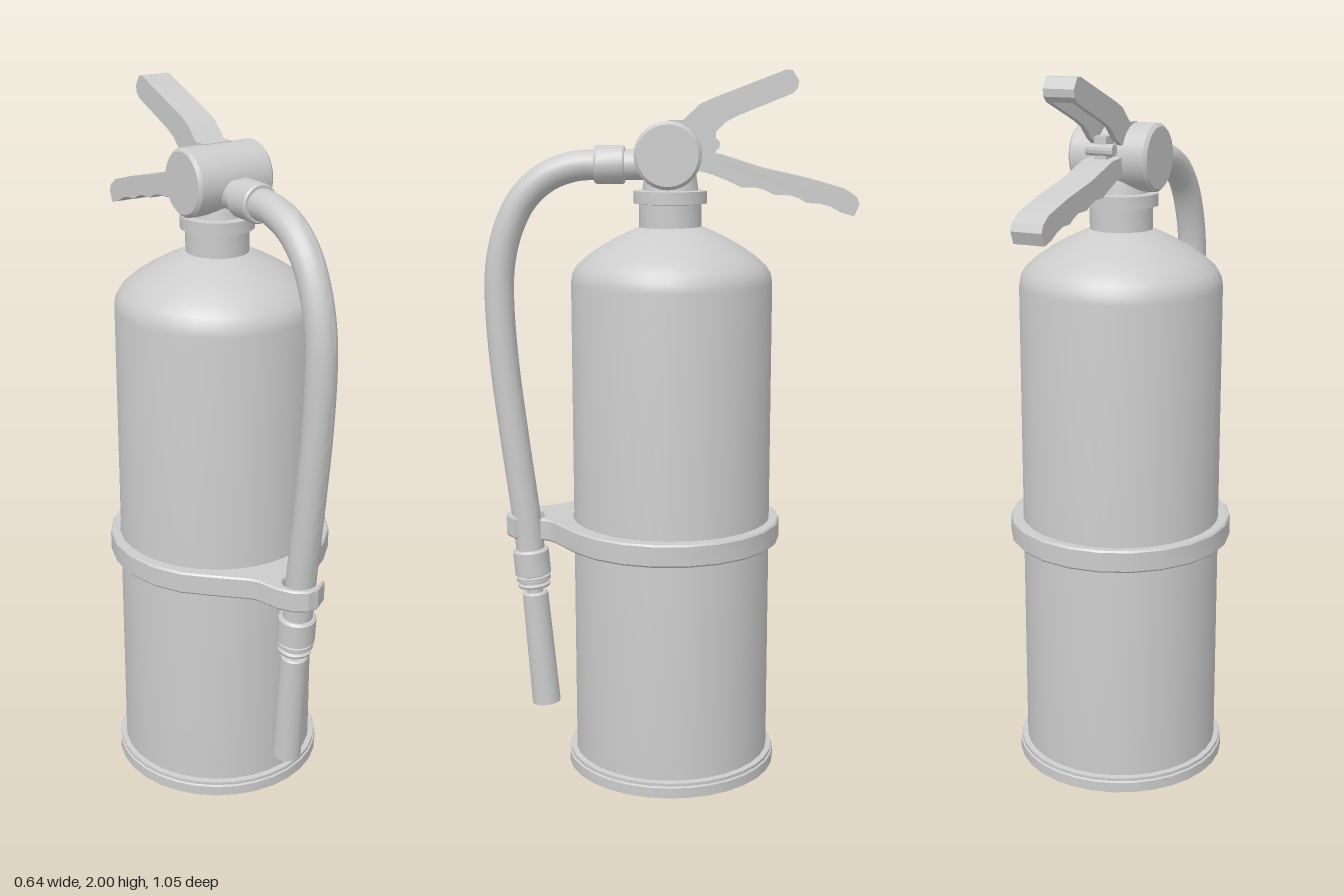
import * as THREE from 'three';
import { toCreasedNormals } from 'three/addons/utils/BufferGeometryUtils.js';

const grey = new THREE.MeshStandardMaterial({ color: 0xcccccc });
const AXIS_X = -0.005;
const v2 = (pts) => pts.map(([x, y]) => new THREE.Vector2(x, y));

function part(name, geometry, x = 0, y = 0, z = 0, crease = 0.55) {
  const mesh = new THREE.Mesh(toCreasedNormals(geometry, crease), grey);
  mesh.name = name;
  mesh.position.set(x, y, z);
  return mesh;
}

const lathe = (profile, sides = 24) => new THREE.LatheGeometry(v2(profile), sides);

// Side outline given as [z, y], extruded across x
function sideExtrude(outline, width, centre = AXIS_X) {
  const g = new THREE.ExtrudeGeometry(new THREE.Shape(v2(outline)), { depth: width, bevelEnabled: false });
  return g.rotateY(-Math.PI / 2).translate(centre + width / 2, 0, 0);
}

export function createModel() {
  const model = new THREE.Group();
  model.name = 'fireExtinguisher';

  // Tank with domed shoulder
  model.add(part('tank', lathe([
    [0, 0.01], [0.283, 0.01], [0.283, 1.42], [0.279, 1.445], [0.265, 1.468], [0.235, 1.495],
    [0.195, 1.522], [0.15, 1.547], [0.105, 1.568], [0.085, 1.576], [0, 1.576],
  ], 32), AXIS_X, 0, -0.007));

  // Base ring
  model.add(part('base', lathe([
    [0, 0], [0.304, 0], [0.304, 0.03], [0.299, 0.033], [0.299, 0.042], [0.283, 0.044],
  ], 32), -0.004, 0, -0.006));

  // Neck and collar
  model.add(part('neck', lathe([
    [0.087, 1.56], [0.087, 1.638], [0.102, 1.64], [0.102, 1.674], [0.078, 1.676], [0.07, 1.73], [0, 1.73],
  ]), AXIS_X, 0, -0.004));

  // Valve head lying across x
  const head = lathe([
    [0, -0.117], [0.083, -0.117], [0.092, -0.108], [0.092, 0.108], [0.083, 0.117], [0, 0.117],
  ], 28).rotateZ(Math.PI / 2);
  model.add(part('valveHead', head, -0.002, 1.772, 0));

  // Upper lever: hollow channel made of a top strip and two cheeks
  const leverTop = [[0, 1.866], [-0.04, 1.866], [-0.085, 1.908], [-0.12, 1.924], [-0.318, 1.999], [-0.335, 1.998]];
  const leverTip = [[-0.353, 1.97], [-0.35, 1.95], [-0.336, 1.936]];
  const leverUnder = [[-0.19, 1.878], [-0.155, 1.86], [-0.122, 1.828], [-0.09, 1.81], [-0.03, 1.82], [0, 1.83]];
  const lever = new THREE.Group();
  lever.name = 'upperLever';
  for (const s of [-1, 1]) {
    lever.add(part('leverCheek', sideExtrude([...leverTop, ...leverTip, ...leverUnder], 0.014, AXIS_X + s * 0.037)));
  }
  lever.add(part('leverStrip', sideExtrude([
    ...leverTop, ...leverTip, [-0.326, 1.945], [-0.325, 1.975], [-0.12, 1.9], [-0.07, 1.865], [0, 1.83],
  ], 0.07)));
  model.add(lever);

  // Lower carrying handle with finger grips
  model.add(part('lowerHandle', sideExtrude([
    [-0.06, 1.785], [-0.1, 1.777], [-0.14, 1.775], [-0.26, 1.737], [-0.39, 1.708], [-0.487, 1.68], [-0.516, 1.66],
    [-0.524, 1.64], [-0.51, 1.607], [-0.475, 1.617], [-0.445, 1.633], [-0.415, 1.642], [-0.38, 1.643],
    [-0.36, 1.655], [-0.335, 1.664], [-0.29, 1.665], [-0.265, 1.678], [-0.24, 1.685], [-0.2, 1.685],
    [-0.165, 1.702], [-0.12, 1.72], [-0.06, 1.735],
  ], 0.088)));

  // Locking pin and its block between the levers
  model.add(part('lockBlock', new THREE.BoxGeometry(0.035, 0.06, 0.06), AXIS_X, 1.805, -0.1));
  model.add(part('lockPin', new THREE.CylinderGeometry(0.016, 0.016, 0.08, 12).rotateZ(Math.PI / 2), AXIS_X, 1.8, -0.125));

  // Hose outlet and coupling
  model.add(part('hoseCoupling', lathe([
    [0.042, 0.05], [0.042, 0.122], [0.049, 0.122], [0.053, 0.127], [0.053, 0.2], [0.049, 0.206], [0.03, 0.206],
  ], 20).rotateX(Math.PI / 2), -0.007, 1.745, 0));

  // Hose
  const hosePath = new THREE.CatmullRomCurve3([
    [0.18, 1.745], [0.26, 1.741], [0.34, 1.712], [0.405, 1.655], [0.45, 1.57], [0.475, 1.47], [0.48, 1.37],
    [0.471, 1.2], [0.447, 0.98], [0.417, 0.74], [0.403, 0.6],
  ].map(([z, y]) => new THREE.Vector3(-0.007, y, z)));
  model.add(part('hose', new THREE.TubeGeometry(hosePath, 48, 0.042, 16)));

  // Nozzle, tilted to follow the hose
  const nozzle = part('nozzle', lathe([
    [0, -0.477], [0.042, -0.477], [0.038, -0.137], [0.034, -0.133], [0.024, -0.133], [0.024, -0.118],
    [0.045, -0.116], [0.048, -0.108], [0.041, -0.103], [0.041, -0.098], [0.05, -0.095], [0.05, -0.083],
    [0.044, -0.08], [0.053, -0.076], [0.053, -0.006], [0.047, 0], [0, 0],
  ], 20), -0.007, 0.638, 0.406);
  nozzle.rotation.x = 0.082;
  model.add(nozzle);

  // Strap with an open hose clip; outline in [x, z] starts at its right shoulder
  const outline = [];
  const a0 = 0.93, a1 = Math.PI - 0.93;
  for (let i = 0; i <= 18; i++) {
    const a = a0 + (a1 - 2 * Math.PI - a0) * (i / 18);
    outline.push([Math.cos(a) * 0.319, Math.sin(a) * 0.319]);
  }
  outline.push([-0.115, 0.325], [-0.1, 0.345], [-0.08, 0.41], [-0.055, 0.45], [-0.02, 0.472], [0.012, 0.472],
    [0.055, 0.442], [0.051, 0.434]);
  for (let i = 0; i <= 8; i++) {
    const a = 1.1 + i * 0.47;
    outline.push([-0.007 + Math.cos(a) * 0.046, 0.41 + Math.sin(a) * 0.046]);
  }
  outline.push([0.03, 0.357], [0.05, 0.371], [0.064, 0.366], [0.07, 0.345], [0.09, 0.325]);
  const strapShape = new THREE.Shape(v2(outline.map(([x, z]) => [x, -z])));
  strapShape.holes.push(new THREE.Path().absarc(AXIS_X, 0.007, 0.281, 0, Math.PI * 2, true));
  const strap = new THREE.ExtrudeGeometry(strapShape, {
    depth: 0.054, bevelThickness: 0.005, bevelSize: 0.004, bevelOffset: -0.004, bevelSegments: 1, curveSegments: 16,
  });
  model.add(part('strap', strap.rotateX(-Math.PI / 2), 0, 0.686, 0));

  return model;
}
